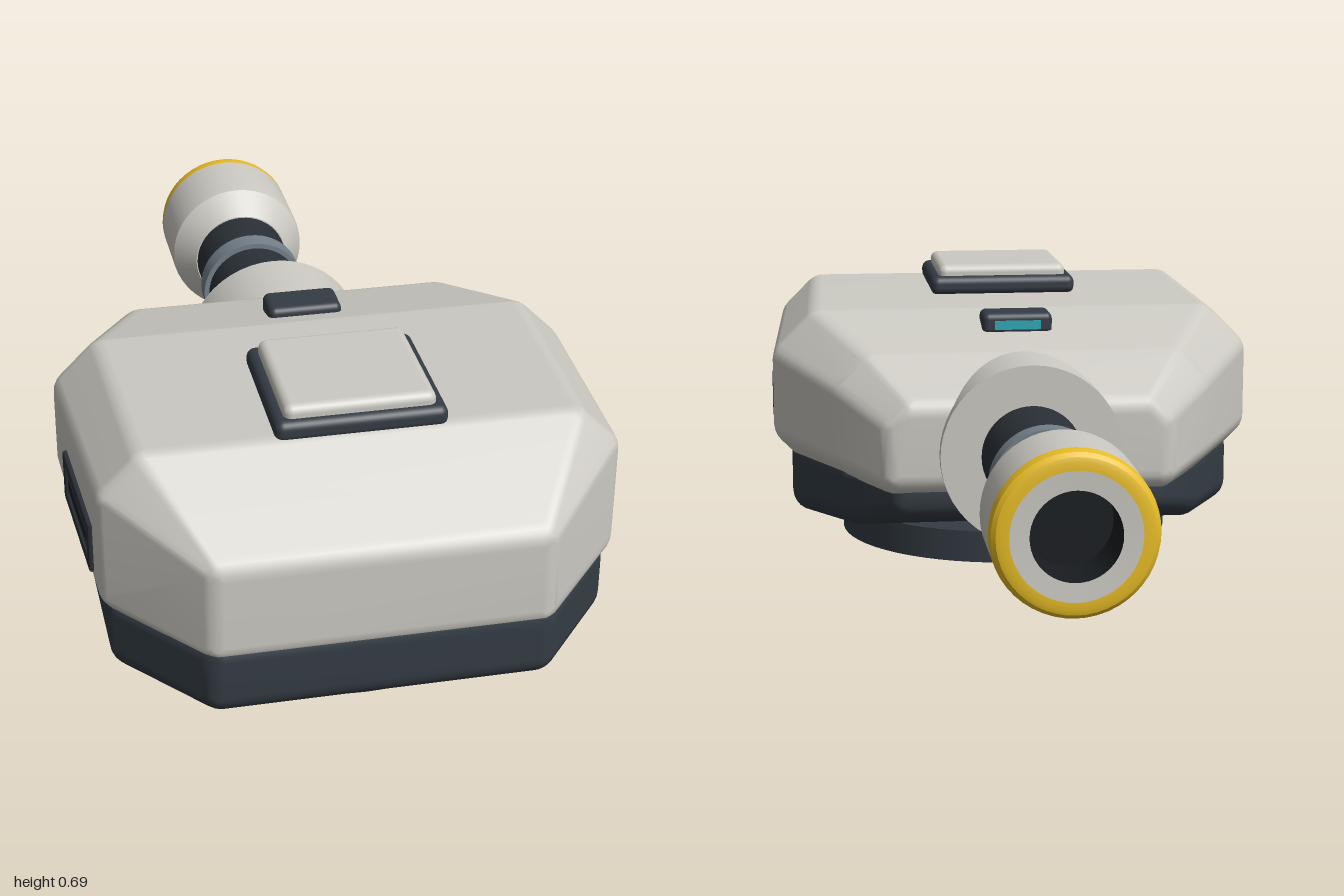
import * as THREE from 'three';
import { mergeVertices, toCreasedNormals } from 'three/addons/utils/BufferGeometryUtils.js';
import { RoundedBoxGeometry } from 'three/addons/geometries/RoundedBoxGeometry.js';
import { ConvexGeometry } from 'three/addons/geometries/ConvexGeometry.js';

const material = (color) => new THREE.MeshStandardMaterial({ color });

// Convex body with edges rounded by radius r, from cross-sections along z.
// Each section is [z, list of right-hand [x, y] corners], already inset by r.
function roundedHull(sections, r) {
  const ball = new THREE.IcosahedronGeometry(r, 3);
  ball.deleteAttribute('normal');
  ball.deleteAttribute('uv');
  const offsets = mergeVertices(ball).attributes.position;
  const points = [];
  for (const [z, corners] of sections) {
    for (const [x, y] of corners) {
      for (const side of [-1, 1]) {
        for (let i = 0; i < offsets.count; i++) {
          points.push(new THREE.Vector3(side * x, y, z).add(new THREE.Vector3().fromBufferAttribute(offsets, i)));
        }
      }
    }
  }
  const hull = new ConvexGeometry(points);
  hull.deleteAttribute('normal');
  const smooth = mergeVertices(hull, 1e-5);
  smooth.computeVertexNormals();
  return smooth;
}

export function createModel() {
  const model = new THREE.Group();
  model.name = 'turret';
  const shell = material(0xcccac3);
  const dark = material(0x343c44);
  const barrelDark = material(0x2a3036);
  const black = material(0x181c20);
  const steel = material(0x74808a);
  const yellow = material(0xe8bd25);
  const cyan = material(0x2fa8b8);

  function add(name, geometry, mat, x = 0, y = 0, z = 0, parent = model) {
    const mesh = new THREE.Mesh(geometry, mat);
    mesh.name = name;
    mesh.position.set(x, y, z);
    parent.add(mesh);
    return mesh;
  }

  // Base disc
  add('baseDisc', new THREE.CylinderGeometry(0.43, 0.43, 0.08, 64), dark, 0, 0.04, 0.42);

  // Upper shell: z, half width, top height, shoulder width, shoulder drop, lower chamfer
  const R = 0.055;
  const upper = [
    [-0.205 + R, 0.37, 0.47, 0.03, 0.03, 0],
    [-0.02, 0.475, 0.55, 0.05, 0.05, 0.03],
    [0.23, 0.61, 0.615, 0.07, 0.07, 0.045],
    [0.75, 0.58, 0.632, 0.06, 0.06, 0.02],
    [1 - R, 0.4, 0.495, 0, 0, 0],
  ].map(([z, w, top, sx, sy, c]) => [z, [
    [w - R - c, 0.22 + R],
    [w - R, 0.22 + R + c],
    [w - R, top - R - sy],
    [w - R - sx, top - R],
  ]]);
  add('upperShell', roundedHull(upper, R), shell);

  // Lower hull: z, half width, bottom height
  const lower = [
    [-0.18 + R, 0.35, 0.15],
    [0, 0.455, 0.11],
    [0.24, 0.565, 0.09],
    [0.75, 0.56, 0.088],
    [0.998 - R, 0.4, 0.09],
  ].map(([z, w, bottom]) => [z, [[w - R, bottom + R], [w - R, 0.29 - R]]]);
  add('lowerHull', roundedHull(lower, R), dark);

  // Roof hatch
  add('hatchFrame', new RoundedBoxGeometry(0.38, 0.05, 0.36, 4, 0.02), dark, 0, 0.642, 0.59);
  add('hatchLid', new RoundedBoxGeometry(0.335, 0.05, 0.32, 4, 0.02), shell, 0, 0.67, 0.59);

  // Roof sensor facing the barrel
  add('sensorHousing', new RoundedBoxGeometry(0.175, 0.055, 0.1, 4, 0.016), dark, 0, 0.594, 0.12);
  add('sensorLens', new THREE.BoxGeometry(0.115, 0.022, 0.012), cyan, 0, 0.592, 0.07);

  // Side vents: frame with a recessed panel and slot
  const frame = new THREE.Shape([[-0.16, -0.06], [0.16, -0.06], [0.16, 0.06], [-0.16, 0.06]].map((p) => new THREE.Vector2(...p)));
  frame.holes.push(new THREE.Path([[-0.135, -0.036], [-0.135, 0.036], [0.135, 0.036], [0.135, -0.036]].map((p) => new THREE.Vector2(...p))));
  const frameGeometry = new THREE.ExtrudeGeometry(frame, {
    depth: 0.03, bevelThickness: 0.005, bevelSize: 0.004, bevelOffset: -0.004, bevelSegments: 2,
  });
  for (const side of [-1, 1]) {
    const vent = new THREE.Group();
    vent.name = side > 0 ? 'leftVent' : 'rightVent';
    vent.position.set(side * 0.572, 0.37, 0.55);
    vent.rotation.y = side * (Math.PI / 2 - 0.06);
    add('ventFrame', frameGeometry, barrelDark, 0, 0, -0.005, vent);
    add('ventPanel', new THREE.BoxGeometry(0.28, 0.08, 0.04), dark, 0, 0, 0.004, vent);
    add('ventSlot', new THREE.BoxGeometry(0.22, 0.026, 0.01), black, 0, 0, 0.022, vent);
    model.add(vent);
  }

  // Gun: lathed parts whose axis runs backwards along -z
  const gun = new THREE.Group();
  gun.name = 'gun';
  gun.position.y = 0.325;
  gun.rotation.x = -Math.PI / 2;
  model.add(gun);
  const lathe = (name, profile, mat) => add(name,
    toCreasedNormals(new THREE.LatheGeometry(profile.map((p) => new THREE.Vector2(...p)), 48), 0.4), mat, 0, 0, 0, gun);

  lathe('collar', [[0, -0.15], [0.22, -0.15], [0.22, 0.238], [0, 0.238]], shell);
  lathe('barrel', [[0, 0.2], [0.122, 0.2], [0.122, 0.74], [0, 0.74]], barrelDark);
  lathe('barrelRing', [[0.12, 0.515], [0.135, 0.515], [0.135, 0.57], [0.12, 0.57]], steel);
  lathe('muzzle', [[0.11, 0.71], [0.125, 0.71], [0.178, 0.77], [0.18, 0.785], [0.18, 0.957]], shell);
  lathe('muzzleBand', [[0.18, 0.957], [0.18, 0.975], [0.177, 0.988], [0.168, 0.997], [0.158, 1], [0.14, 1]], yellow);
  lathe('muzzleFace', [[0.14, 1], [0.098, 0.998]], shell);
  lathe('bore', [[0.098, 0.998], [0.098, 0.86], [0, 0.86]], black);

  return model;
}
